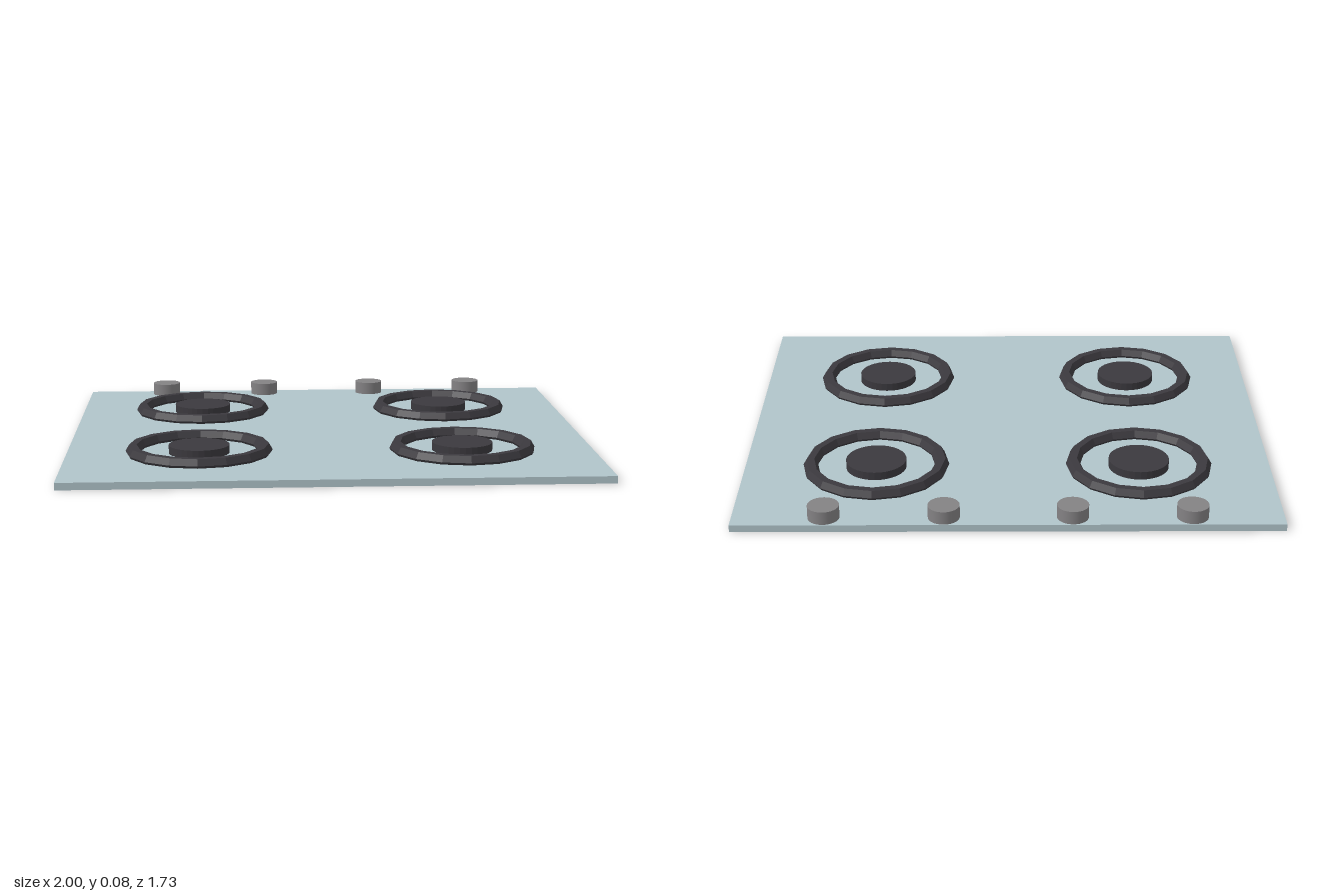
import * as THREE from 'three';

const material = (name, color, flatShading = false) => {
  const m = new THREE.MeshStandardMaterial({ color });
  m.name = name;
  m.flatShading = flatShading;
  return m;
};

export function createModel() {
  const group = new THREE.Group();
  group.name = 'cooktop';

  const glass = material('pale blue glass', 0xb0c4ca);
  const iron = material('dark iron', 0x3b393e, true);
  const grey = material('knob grey', 0x848284);

  const plateTop = 0.027;

  const add = (parent, name, geometry, mat, x, y, z) => {
    const mesh = new THREE.Mesh(geometry, mat);
    mesh.name = name;
    mesh.position.set(x, y, z);
    parent.add(mesh);
    return mesh;
  };

  // Thin flat hob plate
  add(group, 'plate', new THREE.BoxGeometry(2, plateTop, 1.726), glass, 0, plateTop / 2, 0);

  // Four burners: a six-sided ring section around a round cap
  const ringGeometry = new THREE.TorusGeometry(0.25, 0.028, 6, 16).rotateX(Math.PI / 2);
  const capHeight = 0.031;
  const capGeometry = new THREE.CylinderGeometry(0.115, 0.115, capHeight, 32);
  for (const x of [-0.5, 0.5]) {
    for (const z of [-0.402, 0.398]) {
      const burner = new THREE.Group();
      burner.name = 'burner';
      burner.position.set(x, 0, z);
      add(burner, 'burnerRing', ringGeometry, iron, 0, 0.036, 0);
      add(burner, 'burnerCap', capGeometry, iron, 0, plateTop + capHeight / 2, 0);
      group.add(burner);
    }
  }

  // Row of control knobs along the back edge
  const knobHeight = 0.05;
  const knobGeometry = new THREE.CylinderGeometry(0.058, 0.058, knobHeight, 32);
  for (const x of [-0.667, -0.234, 0.232, 0.666]) {
    add(group, 'knob', knobGeometry, grey, x, plateTop + knobHeight / 2, -0.802);
  }

  return group;
}
